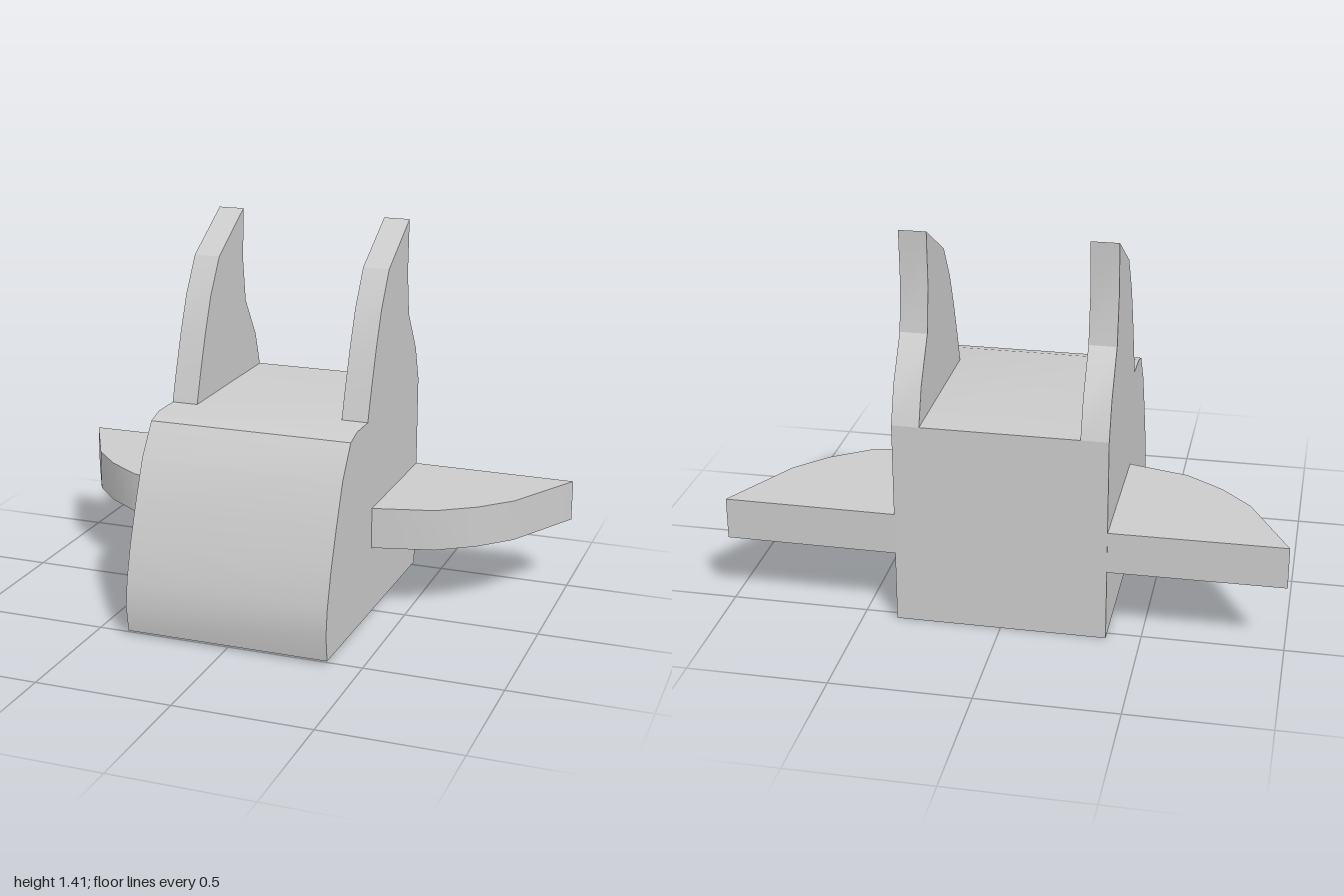
import * as THREE from 'three';
import { toCreasedNormals } from 'three/addons/utils/BufferGeometryUtils.js';

const material = new THREE.MeshStandardMaterial({ color: 0xcccccc });

// Flat plate of given thickness, centred on its own thickness
function plate(points, thickness, crease) {
  const shape = new THREE.Shape(points.map(([a, b]) => new THREE.Vector2(a, b)));
  const geometry = new THREE.ExtrudeGeometry(shape, { depth: thickness, bevelEnabled: false });
  geometry.translate(0, 0, -thickness / 2);
  return toCreasedNormals(geometry, crease);
}

function addPart(group, name, geometry, x = 0, y = 0) {
  const mesh = new THREE.Mesh(geometry, material);
  mesh.name = name;
  mesh.position.set(x, y, 0);
  group.add(mesh);
}

export function createModel() {
  const group = new THREE.Group();
  group.name = 'earedFigure';

  // Body: side profile as [z, y], curved at the front
  const bodyProfile = [
    [-0.535, 0], [0.522, 0.015], [0.537, 0.11], [0.525, 0.21], [0.49, 0.335],
    [0.437, 0.475], [0.373, 0.625], [0.29, 0.738], [0.22, 0.757], [-0.535, 0.757],
  ];
  addPart(group, 'body', plate(bodyProfile, 0.756, 0.5).rotateY(-Math.PI / 2));

  // Ear: side profile as [z, y]
  const earProfile = [
    [-0.535, 0.757], [0.1, 0.757], [0.065, 0.865], [0.015, 1.005], [-0.04, 1.135],
    [-0.125, 1.267], [-0.37, 1.407], [-0.362, 1.21], [-0.387, 1.045], [-0.49, 0.89],
  ];
  // Arm: outline from above as [x, z]
  const armOutline = [
    [0.378, -0.532], [1, -0.527], [0.845, -0.23], [0.735, -0.115], [0.6, -0.022], [0.378, 0.035],
  ];

  for (const side of [1, -1]) {
    const label = side > 0 ? 'left' : 'right';
    addPart(group, `${label}Ear`, plate(earProfile, 0.098, 0.4).rotateY(-Math.PI / 2), side * 0.329);
    const outline = armOutline.map(([x, z]) => [side * x, z]);
    addPart(group, `${label}Arm`, plate(outline, 0.153, 0.45).rotateX(Math.PI / 2), 0, 0.337);
  }
  return group;
}
